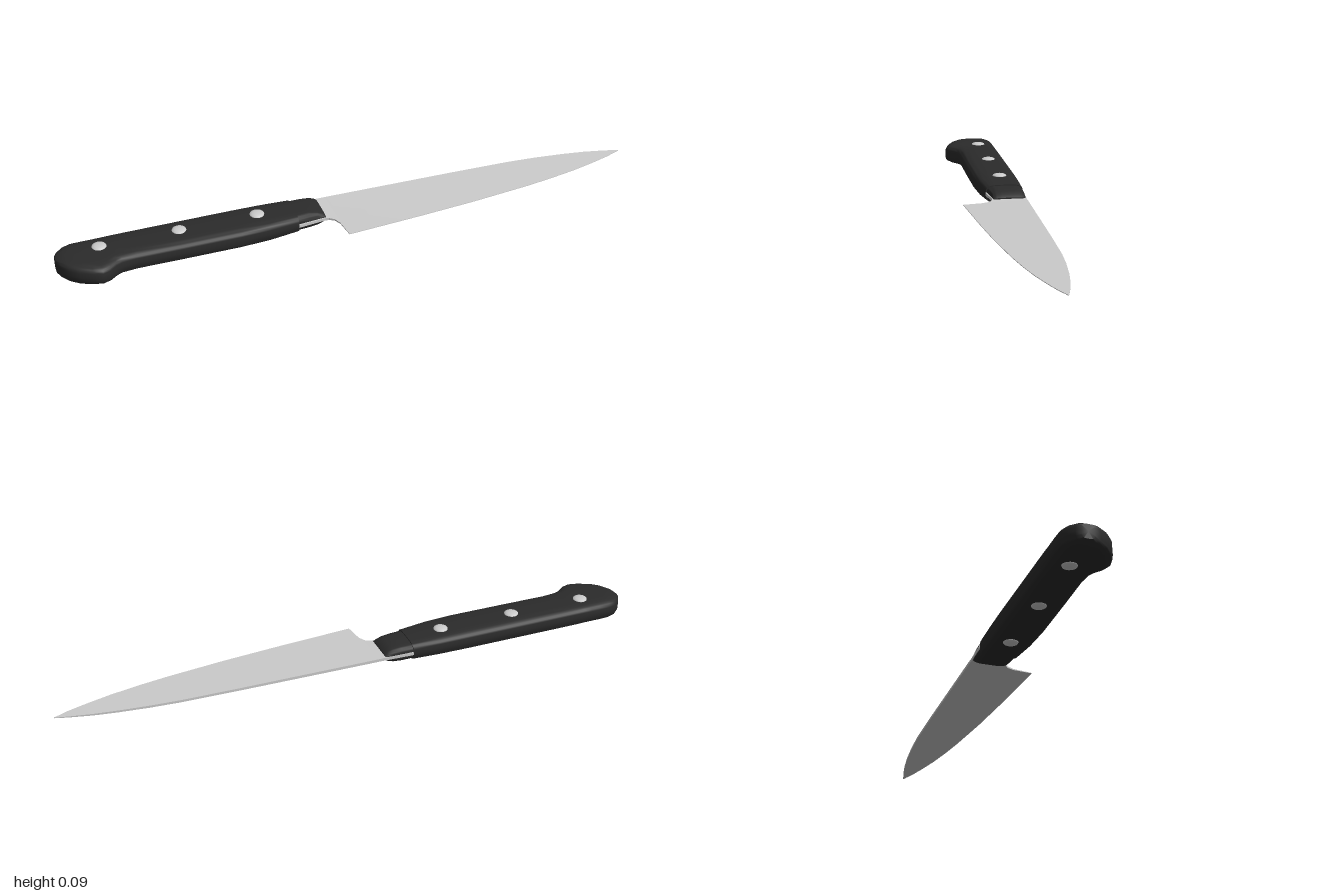
import * as THREE from 'three';
import { toCreasedNormals } from 'three/addons/utils/BufferGeometryUtils.js';

const MID = 0.0425; // height of the knife's middle plane

// Skins a row of closed rings (arrays of [x, y, z]) and caps both ends
function loft(rings, crease) {
  const n = rings[0].length, index = [];
  const position = rings.flat(2);
  for (let r = 0; r < rings.length - 1; r++) {
    for (let i = 0; i < n; i++) {
      const a = r * n + i, b = r * n + (i + 1) % n;
      index.push(a, a + n, b, b, a + n, b + n);
    }
  }
  for (const r of [0, rings.length - 1]) {
    const centre = [0, 1, 2].map(k => rings[r].reduce((s, p) => s + p[k], 0) / n);
    const c = position.length / 3;
    position.push(...centre);
    for (let i = 0; i < n; i++) {
      const a = r * n + i, b = r * n + (i + 1) % n;
      index.push(...(r === 0 ? [c, a, b] : [c, b, a]));
    }
  }
  const g = new THREE.BufferGeometry();
  g.setAttribute('position', new THREE.Float32BufferAttribute(position, 3));
  g.setIndex(index);
  return toCreasedNormals(g, crease);
}

// Rounded-box ring at x, from z0 to z1, with half height h
function gripRing([x, z0, z1, h]) {
  const round = v => Math.sign(v) * Math.sqrt(Math.abs(v));
  return Array.from({ length: 32 }, (_, i) => {
    const a = i / 32 * Math.PI * 2;
    return [x, MID + round(Math.sin(a)) * h, (z0 + z1) / 2 + round(Math.cos(a)) * (z1 - z0) / 2];
  });
}

// Thin wedge ring at x: thick spine at z0, fine edge at z1
function bladeRing([x, z0, z1, spine, edge]) {
  const zm = (z0 + z1) / 2, m = (spine + edge) / 2;
  return [[z1, -edge], [z1, edge], [zm, m], [z0, spine], [z0, -spine], [zm, -m]]
    .map(([z, y]) => [x, MID + y, z]);
}

export function createModel() {
  const knife = new THREE.Group();
  knife.name = 'knife';
  const black = new THREE.MeshStandardMaterial({ color: 0x2b2b2b });
  const steel = new THREE.MeshStandardMaterial({ color: 0xcccccc });
  const add = (name, geometry, material) => {
    const mesh = new THREE.Mesh(geometry, material);
    mesh.name = name;
    knife.add(mesh);
    return mesh;
  };

  // Handle with hooked butt: x, back z, front z, half height
  add('handle', loft([
    [-1, -0.07, -0.03, 0.024], [-0.99, -0.086, -0.008, 0.03], [-0.968, -0.106, 0.023, 0.034],
    [-0.94, -0.116, 0.046, 0.036], [-0.9, -0.118, 0.064, 0.036], [-0.87, -0.118, 0.071, 0.036],
    [-0.845, -0.118, 0.062, 0.036], [-0.82, -0.118, 0.042, 0.036], [-0.8, -0.118, 0.033, 0.036],
    [-0.75, -0.118, 0.028, 0.036], [-0.6, -0.118, 0.03, 0.036], [-0.4, -0.118, 0.031, 0.036],
    [-0.3, -0.117, 0.026, 0.035], [-0.2, -0.115, 0.014, 0.031],
  ].map(gripRing), 0.7), black);

  // Bolster between handle and blade
  add('bolster', loft([
    [-0.205, -0.112, 0.011, 0.028], [-0.16, -0.112, 0.007, 0.028],
    [-0.13, -0.111, 0.004, 0.025], [-0.112, -0.11, 0.003, 0.018], [-0.102, -0.109, 0.002, 0.009],
  ].map(gripRing), 0.7), black);

  // Blade with tang and notched heel: x, spine z, edge z, half thicknesses
  add('blade', loft([
    [-0.2, -0.116, 0.016, 0.005, 0.005], [-0.11, -0.112, 0.006, 0.005, 0.005],
    [-0.095, -0.111, 0.008, 0.005, 0.004], [-0.078, -0.111, 0.02, 0.005, 0.003],
    [-0.067, -0.111, 0.045, 0.005, 0.002], [-0.059, -0.111, 0.112, 0.005, 0.001],
    [0.2, -0.107, 0.094, 0.0048, 0.001], [0.4, -0.104, 0.077, 0.0045, 0.001],
    [0.6, -0.099, 0.054, 0.0042, 0.001], [0.7, -0.092, 0.039, 0.004, 0.001],
    [0.8, -0.081, 0.02, 0.0035, 0.001], [0.88, -0.069, 0, 0.003, 0.001],
    [0.95, -0.054, -0.02, 0.002, 0.001], [0.985, -0.045, -0.034, 0.0015, 0.001],
    [1, -0.041, -0.039, 0.001, 0.001],
  ].map(bladeRing), 0.4), steel);

  // Domed rivets passing right through the handle
  const dome = [[0.025, 0.034], [0.023, 0.038], [0.016, 0.041], [0.008, 0.0422], [0, 0.0425]];
  const profile = [...dome.map(([r, y]) => [r, -y]).reverse(), ...dome]
    .map(([r, y]) => new THREE.Vector2(r, y));
  const rivetGeometry = new THREE.LatheGeometry(profile, 24);
  for (const x of [-0.855, -0.59, -0.325]) {
    add('rivet', rivetGeometry, steel).position.set(x, MID, -0.053);
  }
  return knife;
}
